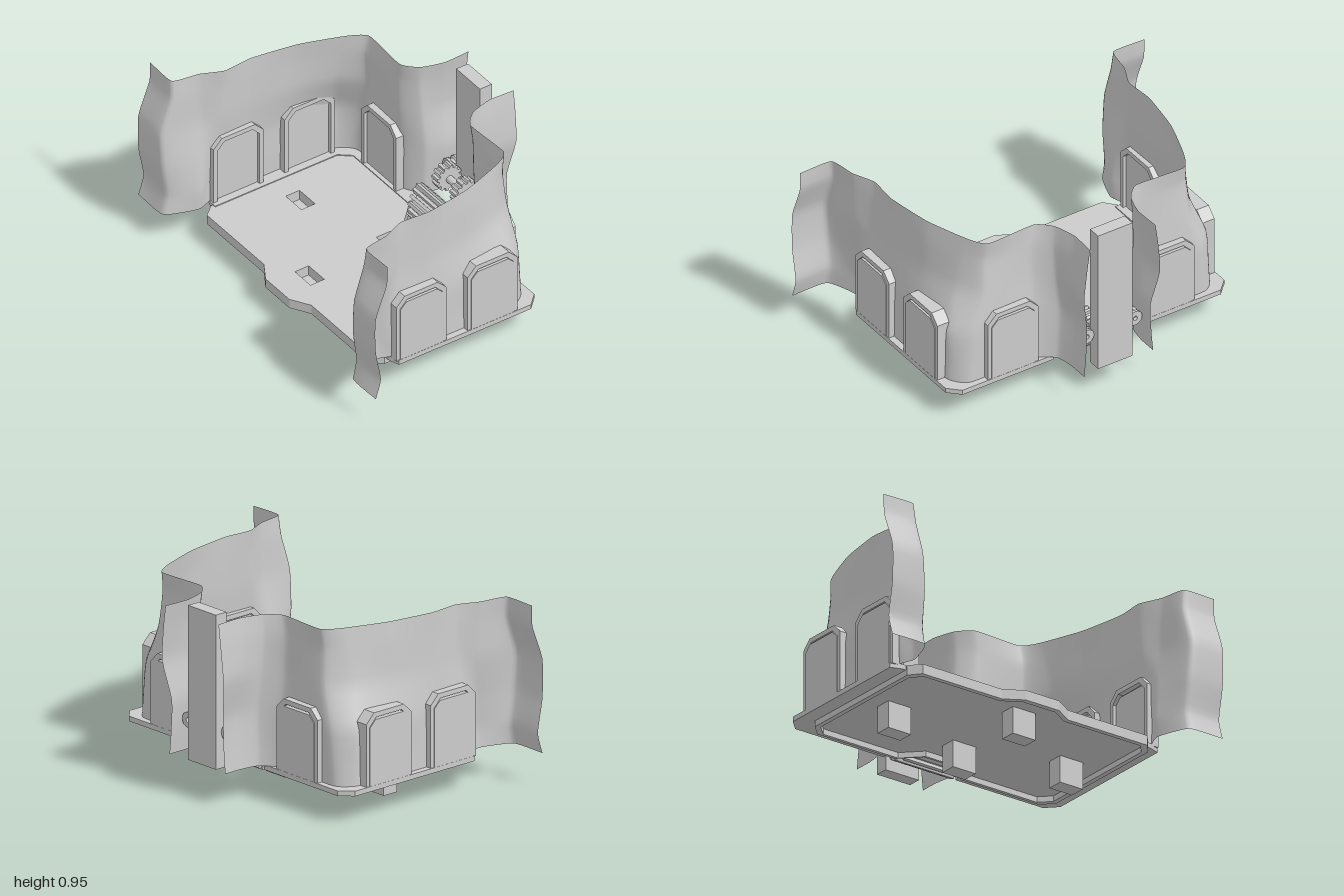
import * as THREE from 'three';

const grey = new THREE.MeshStandardMaterial({ color: 0xcccccc, flatShading: true });
const cloth = new THREE.MeshStandardMaterial({ color: 0xcccccc, side: THREE.DoubleSide });

function add(parent, name, geometry, x = 0, y = 0, z = 0, material = grey) {
  const mesh = new THREE.Mesh(geometry, material);
  mesh.name = name;
  mesh.position.set(x, y, z);
  parent.add(mesh);
  return mesh;
}

const toShape = (pts) => new THREE.Shape(pts.map(([x, y]) => new THREE.Vector2(x, y)));

// Closed outline from one half of a mirrored plan, given as [x, z]
const mirrored = (half) =>
  toShape([...half, ...half.slice().reverse().map(([x, z]) => [-x, z])].map(([x, z]) => [x, -z]));

const rectangle = (x, z, w, d) => toShape([
  [x - w / 2, -z - d / 2], [x + w / 2, -z - d / 2], [x + w / 2, -z + d / 2], [x - w / 2, -z + d / 2]]);

// Plan shape raised into a horizontal slab
const slab = (shape, height) =>
  new THREE.ExtrudeGeometry(shape, { depth: height, bevelEnabled: false }).rotateX(-Math.PI / 2);

// Upright outline with clipped top corners
function archPoints(w, h, cut, base = 0) {
  const a = w / 2;
  return [[-a, base], [a, base], [a, h - cut], [a - cut, h], [-a + cut, h], [-a, h - cut]];
}

function door(parent, name, x, z, turn) {
  const group = new THREE.Group();
  group.name = name;
  const frame = toShape(archPoints(0.295, 0.375, 0.05));
  frame.holes.push(toShape(archPoints(0.25, 0.35, 0.042, 0.004)));
  add(group, 'doorFrame', new THREE.ExtrudeGeometry(frame, { depth: 0.07, bevelEnabled: false }), 0, 0, -0.04);
  const panel = toShape(archPoints(0.252, 0.34, 0.035));
  add(group, 'doorPanel', new THREE.ExtrudeGeometry(panel, { depth: 0.056, bevelEnabled: false }), 0, 0, -0.022);
  group.position.set(x, 0.165, z);
  group.rotation.y = turn;
  parent.add(group);
}

// Toothed wheel with its axle along x
function gear(radius, root, teeth, length) {
  const pts = [];
  for (let i = 0; i < teeth; i++) {
    [[0, root], [0.3, root], [0.45, radius], [0.85, radius]].forEach(([f, r]) => {
      const a = ((i + f) / teeth) * Math.PI * 2;
      pts.push([Math.cos(a) * r, Math.sin(a) * r]);
    });
  }
  return new THREE.ExtrudeGeometry(toShape(pts), { depth: length, bevelEnabled: false })
    .translate(0, 0, -length / 2).rotateY(Math.PI / 2);
}

// Rippled sheet wall: plan paths [x, z] at rising heights, smoothed both ways
function curtain(side) {
  const rows = [
    [0.17, [[1, 0.69], [0.8, 0.685], [0.735, 0.52], [0.765, 0.42], [0.775, 0.2], [0.775, -0.05], [0.76, -0.3], [0.68, -0.385], [0.32, -0.385], [0.22, -0.45], [0.2, -0.55], [0.2, -0.655]]],
    [0.28, [[1, 0.66], [0.8, 0.665], [0.73, 0.51], [0.77, 0.42], [0.775, 0.2], [0.77, -0.05], [0.755, -0.3], [0.67, -0.385], [0.32, -0.385], [0.215, -0.45], [0.19, -0.55], [0.19, -0.655]]],
    [0.45, [[1, 0.69], [0.8, 0.685], [0.75, 0.5], [0.765, 0.4], [0.77, 0.2], [0.77, -0.05], [0.75, -0.29], [0.65, -0.385], [0.32, -0.385], [0.21, -0.45], [0.18, -0.55], [0.185, -0.655]]],
    [0.65, [[1, 0.69], [0.81, 0.685], [0.78, 0.48], [0.75, 0.38], [0.755, 0.2], [0.73, -0.05], [0.68, -0.25], [0.59, -0.37], [0.32, -0.37], [0.225, -0.44], [0.21, -0.55], [0.22, -0.685]]],
    [0.83, [[1, 0.625], [0.81, 0.63], [0.785, 0.48], [0.745, 0.36], [0.75, 0.2], [0.72, -0.05], [0.65, -0.26], [0.575, -0.355], [0.32, -0.365], [0.23, -0.43], [0.2, -0.55], [0.205, -0.69]]],
    [0.94, [[1, 0.62], [0.82, 0.62], [0.79, 0.48], [0.74, 0.36], [0.75, 0.2], [0.71, -0.05], [0.63, -0.28], [0.565, -0.37], [0.3, -0.36], [0.22, -0.43], [0.185, -0.55], [0.19, -0.69]]],
  ];
  const paths = rows.map(([y, pts]) => new THREE.CatmullRomCurve3(
    pts.map(([x, z]) => new THREE.Vector3(x * side, y, z)), false, 'catmullrom', 0.25));
  const geometry = new THREE.PlaneGeometry(1, 1, 77, 20);
  const pos = geometry.attributes.position;
  for (let i = 0; i <= 77; i++) {
    const column = new THREE.CatmullRomCurve3(paths.map((p) => p.getPoint(i / 77)), false, 'catmullrom', 0.3);
    for (let j = 0; j <= 20; j++) {
      const p = column.getPoint(j / 20);
      pos.setXYZ(j * 78 + i, p.x, p.y, p.z);
    }
  }
  geometry.computeVertexNormals();
  return geometry;
}

export function createModel() {
  const model = new THREE.Group();
  model.name = 'walledPlatform';

  // Floor plate with a lip below its edge
  const outline = [
    [0.1, 0.57], [0.2, 0.51], [0.68, 0.51], [0.73, 0.45],
    [0.73, -0.29], [0.67, -0.35], [0.2, -0.35], [0.1, -0.25],
  ];
  const floor = mirrored(outline);
  const lip = mirrored(outline);
  lip.holes.push(mirrored(outline.map(([x, z]) => [x * 0.965, z * 0.95])));

  // Four sockets, each with a collar and a leg
  [[0, -0.1], [-0.52, 0.07], [0.52, 0.07], [0, 0.38]].forEach(([x, z]) => {
    floor.holes.push(rectangle(x, z, 0.131, 0.081));
    const collar = rectangle(x, z, 0.137, 0.087);
    collar.holes.push(rectangle(x, z, 0.131, 0.081));
    add(model, 'legCollar', slab(collar, 0.04), 0, 0.108, 0);
    add(model, 'leg', new THREE.BoxGeometry(0.137, 0.11, 0.087), x, 0.055, z);
  });
  add(model, 'floor', slab(floor, 0.023), 0, 0.142, 0);
  add(model, 'floorLip', slab(lip, 0.03), 0, 0.113, 0);

  for (const side of [-1, 1]) {
    // Rim carrying the wall
    const rim = toShape([
      [0.71, 0.44], [0.75, 0.44], [0.81, 0.42], [0.81, -0.36], [0.75, -0.42],
      [0.22, -0.42], [0.2, -0.34], [0.66, -0.34], [0.71, -0.28],
    ].map(([x, z]) => [x * side, -z]));
    add(model, 'rim', slab(rim, 0.026), 0, 0.144, 0);

    add(model, 'curtainWall', curtain(side), 0, 0, 0, cloth);

    // Doors set through the wall
    door(model, 'sideDoorFront', side * 0.775, 0.285, side * Math.PI / 2);
    door(model, 'sideDoorBack', side * 0.775, -0.135, side * Math.PI / 2);
    door(model, 'backDoor', side * 0.453, -0.385, Math.PI);

    // Small sprocket and grooved pulley beside the post
    add(model, 'sprocket', gear(0.072, 0.058, 12, 0.05), side * 0.075, 0.35, -0.48);
    const pulley = new THREE.LatheGeometry(
      [[0.012, -0.03], [0.04, -0.03], [0.04, -0.015], [0.028, -0.008], [0.028, 0.008],
        [0.04, 0.015], [0.04, 0.03], [0.025, 0.03], [0.02, 0.02], [0.012, 0.03], [0.012, -0.03]]
        .map(([r, y]) => new THREE.Vector2(r, y)), 16).rotateX(Math.PI / 2);
    add(model, 'pulley', pulley, side * 0.14, 0.345, -0.56);
    add(model, 'pulleyPin', new THREE.CylinderGeometry(0.015, 0.015, 0.07, 10).rotateZ(Math.PI / 2), side * 0.145, 0.345, -0.56);
  }

  // Ridged drum whose bars grow shorter toward the front
  const drum = new THREE.Group();
  drum.name = 'ridgedDrum';
  drum.position.set(0, 0.205, -0.36);
  add(drum, 'drumCore', new THREE.CylinderGeometry(0.068, 0.068, 0.23, 14).rotateZ(Math.PI / 2));
  for (let i = 0; i < 14; i++) {
    const a = (i / 14) * Math.PI * 2;
    const z = Math.cos(a) * 0.07;
    const length = 0.36 - 1.4 * Math.max(0, z + 0.025);
    const bar = add(drum, 'drumBar', new THREE.BoxGeometry(length, 0.017, 0.03), 0, Math.sin(a) * 0.07, z);
    bar.rotation.x = -a;
  }
  model.add(drum);
  add(model, 'sprocketAxle', new THREE.CylinderGeometry(0.02, 0.02, 0.22, 12).rotateZ(Math.PI / 2), 0, 0.345, -0.48);

  // Tall post behind the gap in the wall
  add(model, 'post', new THREE.BoxGeometry(0.2, 0.79, 0.07), 0, 0.555, -0.59);

  return model;
}
